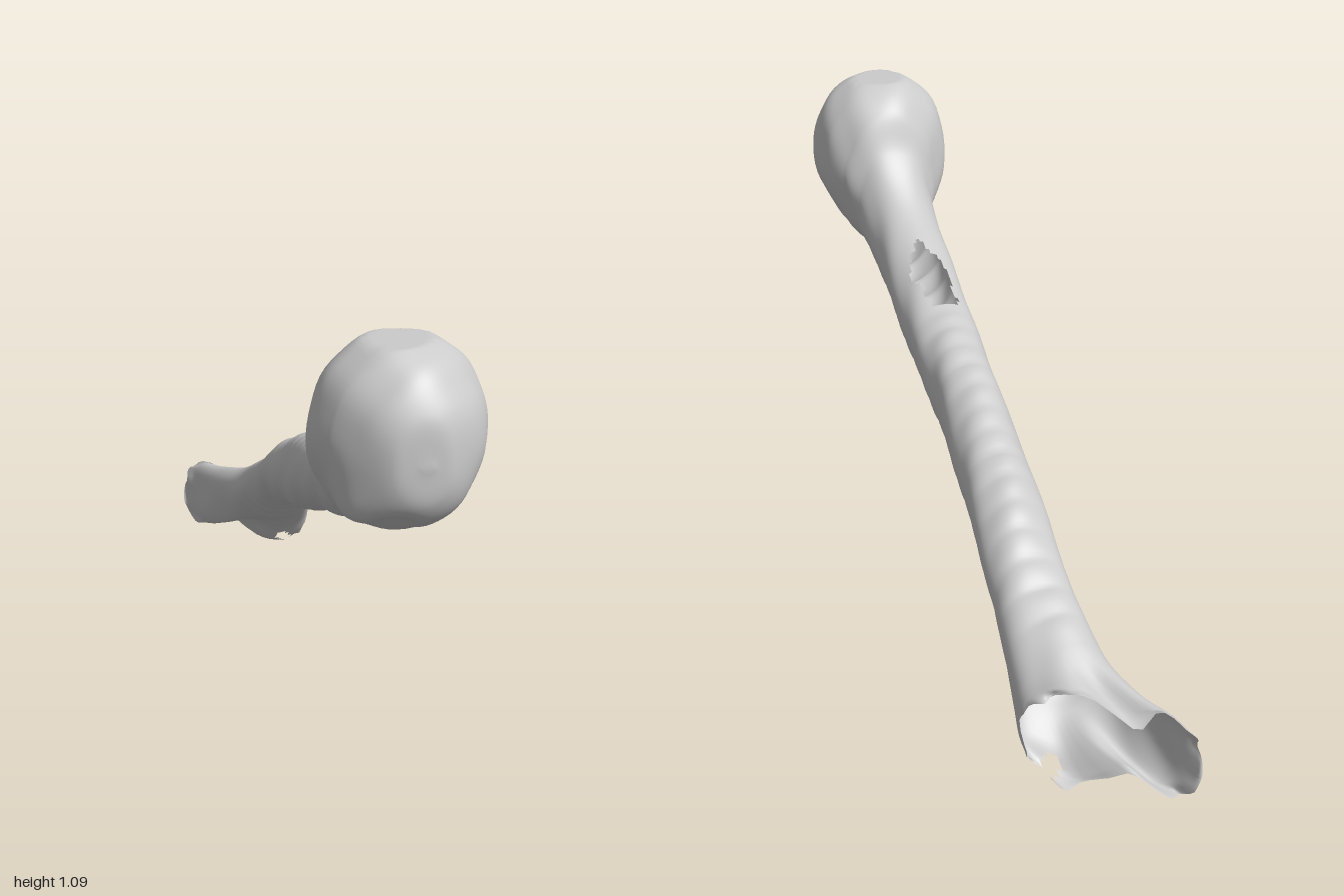
import * as THREE from 'three';

// Cross-sections from the head to the broken end: z, top y, bottom y, min x, max x, skew (dz/dx)
const SECTIONS = [
  [1.0, 0.905, 0.895, -0.03, -0.01, 0],
  [0.99, 1.0, 0.815, -0.095, 0.04, 0],
  [0.95, 1.06, 0.765, -0.145, 0.09, 0],
  [0.9, 1.095, 0.745, -0.183, 0.125, 0],
  [0.82, 1.115, 0.722, -0.205, 0.152, 0],
  [0.74, 1.095, 0.7, -0.183, 0.145, 0],
  [0.68, 1.045, 0.678, -0.135, 0.112, 0],
  [0.635, 0.945, 0.66, -0.108, 0.09, 0],
  [0.55, 0.85, 0.627, -0.1, 0.081, 0],
  [0.42, 0.78, 0.585, -0.09, 0.088, 0],
  [0.2, 0.69, 0.515, -0.072, 0.105, 0],
  [0.0, 0.632, 0.437, -0.05, 0.11, 0],
  [-0.2, 0.55, 0.372, -0.035, 0.13, 0],
  [-0.4, 0.468, 0.3, -0.015, 0.155, 0],
  [-0.55, 0.385, 0.225, -0.005, 0.173, 0.05],
  [-0.68, 0.315, 0.148, -0.01, 0.19, 0.25],
  [-0.78, 0.268, 0.075, -0.035, 0.196, 0.5],
  [-0.84, 0.25, 0.03, -0.075, 0.196, 0.7],
  [-0.885, 0.237, 0.012, -0.105, 0.195, 0.8],
];
const SIDES = 64;
const ROWS = (SECTIONS.length - 1) * 16;

const curveOf = (a, b, c) => new THREE.CatmullRomCurve3(
  SECTIONS.map((s) => new THREE.Vector3(s[a], s[b], s[c])));
const heights = curveOf(0, 1, 2);
const widths = curveOf(3, 4, 5);

const { smoothstep } = THREE.MathUtils;
const signedPow = (v, e) => Math.sign(v) * Math.pow(Math.abs(v), e);

function surfacePoint(t, angle) {
  const h = heights.getPoint(t);
  const w = widths.getPoint(t);
  const cx = (w.x + w.y) / 2, hx = (w.y - w.x) / 2;
  const cy = (h.y + h.z) / 2, hy = (h.y - h.z) / 2;

  // The far end becomes squarer and is pinched between its two lobes
  const flare = smoothstep(-h.x, 0.68, 0.885);
  const e = 1 - 0.3 * flare;
  const c = signedPow(Math.cos(angle), e);
  const s = signedPow(Math.sin(angle), e);
  const pinch = 1 - flare * (s < 0 ? 0.55 : 0.35) * Math.exp(-(((c + 0.25) / 0.3) ** 2));
  const p = new THREE.Vector3(cx + hx * c, cy + hy * s * pinch, h.x + w.z * hx * c);

  // Washboard ripples, strongest on the underside
  const along = smoothstep(0.95 - h.x, 0, 0.15) * (1 - smoothstep(-h.x, 0.6, 0.75));
  const ripple = Math.abs(Math.sin((p.z * Math.PI) / 0.066)) - 0.6;
  if (s < 0) p.y += 0.013 * along * ripple * s;
  else if (h.x < 0.2) p.y += 0.007 * along * ripple * s ** 3;

  // Small knob low on the head, with a groove beside it
  const mound = (x, y, z, r) =>
    Math.exp(-((p.x - x) ** 2 + (p.y - y) ** 2 + (p.z - z) ** 2) / (r * r));
  const knob = mound(-0.14, 0.8, 0.93, 0.05);
  const groove = mound(-0.07, 0.76, 0.95, 0.035);
  p.x -= 0.025 * knob;
  p.y += 0.025 * groove - 0.02 * knob;

  // Slight unevenness and the flattened crown
  const lump = 0.003 * Math.sin(p.x * 41 + p.z * 19) * Math.sin(p.y * 37 - p.z * 23);
  p.x += lump * c;
  p.y = Math.min(p.y + lump * s, 1.098);

  // Ragged rim
  const rim = smoothstep(t, 0.96, 1);
  p.z += rim * 0.012 * (Math.sin(angle * 7) + 0.6 * Math.sin(angle * 13 + 1));
  p.y += rim * 0.008 * Math.sin(angle * 9 + 2) * Math.abs(s);
  p.y = Math.max(p.y, 0);
  p.z = THREE.MathUtils.clamp(p.z, -1, 1);
  return p;
}

// True where the wall is broken through
function isHole(p, top) {
  if (top && p.z > 0.15 && p.z < 0.5) {
    const u = (p.x - 0.005) / 0.046, v = (p.z - 0.31) / 0.105;
    const a = Math.atan2(v, u);
    return u * u + v * v < 1 + 0.2 * Math.sin(a * 5) + 0.15 * Math.sin(a * 8 + 1);
  }
  return !top && Math.hypot(p.x - 0.14, p.z + 0.79) < 0.02;
}

function boneGeometry() {
  const positions = [], index = [], points = [];
  for (let i = 0; i <= ROWS; i++) {
    for (let j = 0; j < SIDES; j++) {
      const p = surfacePoint(i / ROWS, (j / SIDES) * Math.PI * 2);
      points.push(p);
      positions.push(p.x, p.y, p.z);
    }
  }
  for (let i = 0; i < ROWS; i++) {
    for (let j = 0; j < SIDES; j++) {
      const a = i * SIDES + j, b = i * SIDES + ((j + 1) % SIDES);
      const c = a + SIDES, d = b + SIDES;
      const mid = points[a].clone().add(points[d]).multiplyScalar(0.5);
      if (isHole(mid, j < SIDES / 2)) continue;
      index.push(a, c, b, b, c, d);
    }
  }
  // Closing point on the head
  const tip = points.length;
  positions.push(-0.02, 0.9, 1);
  for (let j = 0; j < SIDES; j++) index.push(tip, j, (j + 1) % SIDES);

  const geometry = new THREE.BufferGeometry();
  geometry.setAttribute('position', new THREE.Float32BufferAttribute(positions, 3));
  geometry.setIndex(index);
  geometry.computeVertexNormals();
  return geometry;
}

export function createModel() {
  const group = new THREE.Group();
  group.name = 'armBone';
  const material = new THREE.MeshStandardMaterial({ color: 0xcccccc, side: THREE.DoubleSide });
  const bone = new THREE.Mesh(boneGeometry(), material);
  bone.name = 'boneShell';
  group.add(bone);
  return group;
}
